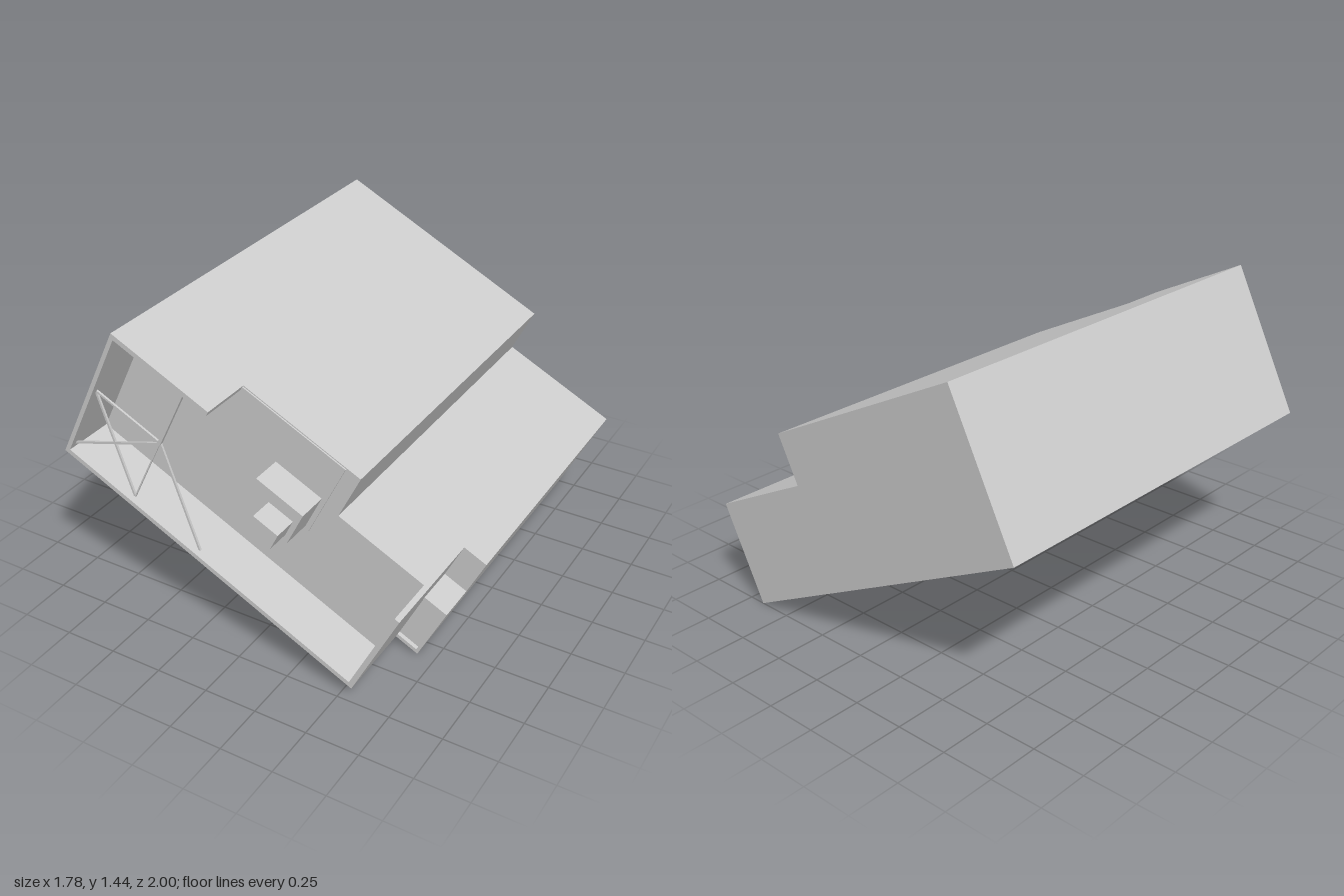
import * as THREE from 'three';

const material = new THREE.MeshStandardMaterial({ color: 0xcccccc, flatShading: true });

export function createModel() {
  const model = new THREE.Group();
  model.name = 'tiltedBuilding';

  // Everything is laid out square in (u, v, z), then the group is tilted.
  const building = new THREE.Group();
  building.name = 'building';
  building.position.set(-0.895, 0.777, 0);
  building.rotation.z = -THREE.MathUtils.degToRad(26.4);
  model.add(building);

  const add = (name, geometry) => {
    const mesh = new THREE.Mesh(geometry, material);
    mesh.name = name;
    building.add(mesh);
    return mesh;
  };

  // Box given by its ranges
  const block = (name, [u0, u1], [v0, v1], [z0, z1]) => {
    const mesh = add(name, new THREE.BoxGeometry(u1 - u0, v1 - v0, z1 - z0));
    mesh.position.set((u0 + u1) / 2, (v0 + v1) / 2, (z0 + z1) / 2);
    return mesh;
  };

  // Thin square bar between two points of the facade
  const bar = (name, [u0, v0], [u1, v1], size, z) => {
    const mesh = add(name, new THREE.BoxGeometry(Math.hypot(u1 - u0, v1 - v0), size, size));
    mesh.position.set((u0 + u1) / 2, (v0 + v1) / 2, z);
    mesh.rotation.z = Math.atan2(v1 - v0, u1 - u0);
  };

  // Stepped solid body
  const body = (name, length, z0, z1) => {
    const outline = [[0, 0], [length, 0], [length, 0.497], [1.143, 0.497], [1.143, 0.738], [0, 0.738]];
    const shape = new THREE.Shape(outline.map(([u, v]) => new THREE.Vector2(u, v)));
    const geometry = new THREE.ExtrudeGeometry(shape, { depth: z1 - z0, bevelEnabled: false });
    add(name, geometry.translate(0, 0, z0));
  };
  body('mainBody', 1.742, -1, 0.4);
  body('frontBody', 1.622, 0.4, 0.73);

  // Open porch in front of the body
  const porch = [0.73, 0.98];
  block('porchFloor', [0, 1.622], [0, 0.022], porch);
  block('porchLeftWall', [0, 0.02], [0.022, 0.715], porch);
  block('porchRoof', [0, 0.52], [0.715, 0.738], porch);
  block('porchEndWall', [1.598, 1.622], [0.022, 0.497], porch);
  block('wallPanel', [0.52, 1.07], [0.32, 0.733], [0.73, 0.737]);

  // Porch framing
  const z = 0.945;
  bar('upperPost', [0.375, 0.385], [0.375, 0.718], 0.016, z);
  bar('lowerPost', [0.375, 0.02], [0.375, 0.385], 0.006, z);
  bar('rail', [0.015, 0.385], [0.38, 0.385], 0.01, z);
  bar('risingBrace', [0.015, 0.045], [0.38, 0.385], 0.01, z);
  bar('fallingBrace', [0.015, 0.385], [0.373, 0.025], 0.01, z);
  bar('longBrace', [0.378, 0.385], [0.747, 0.022], 0.01, z);

  // Boxes mounted on the porch wall
  block('wallBox', [0.798, 1.047], [0.335, 0.521], [0.73, 0.885]);
  block('wallBoxNozzle', [0.893, 1.023], [0.37, 0.46], [0.885, 1]);

  // Low side bay with an inset front
  const bay = [0.4, 0.59];
  block('sideBayFloor', [1.622, 1.742], [0, 0.018], bay);
  block('sideBayRoof', [1.622, 1.742], [0.284, 0.302], bay);
  block('sideBayWall', [1.727, 1.742], [0.018, 0.284], bay);
  block('sideBayFront', [1.622, 1.727], [0.018, 0.284], [0.4, 0.57]);

  return model;
}
